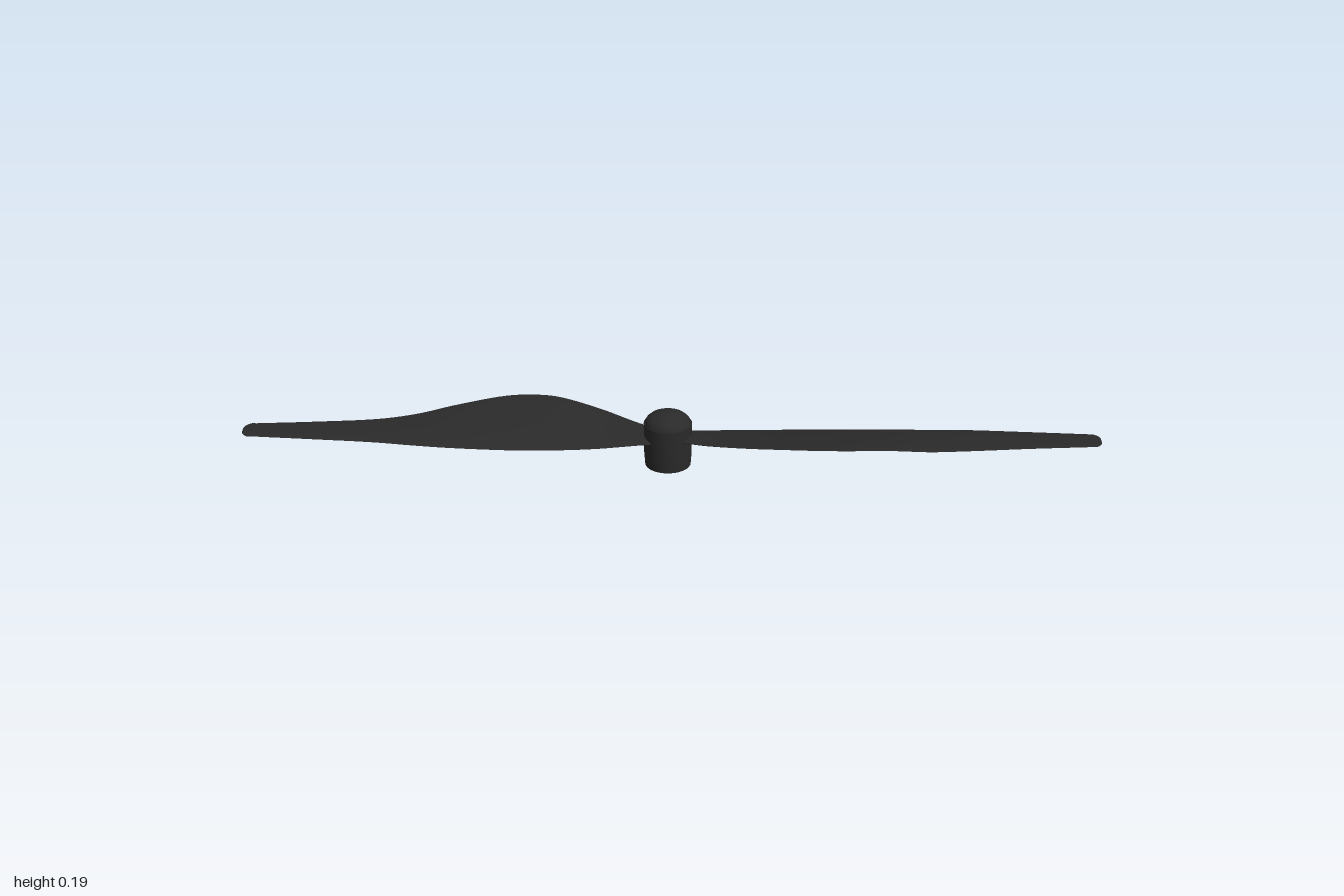
import * as THREE from 'three';
import { toCreasedNormals } from 'three/addons/utils/BufferGeometryUtils.js';

const material = new THREE.MeshStandardMaterial({ color: 0x2a2a2a });

// Blade stations: [distance, rear edge z, rear edge y, front edge z, front edge y]
const stations = [
  [0.00, -0.045, 0.098, 0.03, 0.101],
  [0.10, -0.056, 0.094, 0.076, 0.108],
  [0.24, -0.074, 0.089, 0.14, 0.131],
  [0.38, -0.084, 0.087, 0.184, 0.150],
  [0.47, -0.087, 0.087, 0.191, 0.152],
  [0.55, -0.087, 0.088, 0.185, 0.149],
  [0.71, -0.084, 0.092, 0.147, 0.132],
  [0.83, -0.077, 0.096, 0.117, 0.114],
  [0.95, -0.069, 0.101, 0.092, 0.106],
  [1.15, -0.056, 0.103, 0.068, 0.105],
  [1.35, -0.043, 0.104, 0.05, 0.105],
];

// Smooth edge curve through the stations
const edgeCurve = (zi, yi) =>
  new THREE.CatmullRomCurve3(stations.map((s) => new THREE.Vector3(s[0], s[yi], s[zi])));

function bladeGeometry() {
  const rear = edgeCurve(1, 2), front = edgeCurve(3, 4);
  const steps = 60, half = 8, ring = half * 2;
  const sections = [];
  for (let i = 0; i <= steps; i++) sections.push([rear.getPoint(i / steps), front.getPoint(i / steps)]);

  // Rounded tip
  const [r, f] = sections[steps];
  for (const [x, k] of [[1.367, 0.0], [1.377, 0.09], [1.384, 0.2], [1.387, 0.3]]) {
    const a = r.clone().lerp(f, k), b = f.clone().lerp(r, k);
    a.x = b.x = x;
    sections.push([a, b]);
  }

  // Thin lens-shaped section swept along the two edges
  const positions = [], index = [];
  for (const [a, b] of sections) {
    const thick = THREE.MathUtils.lerp(0.008, 0.003, a.x / 1.39);
    for (let j = 0; j < ring; j++) {
      const angle = (j / ring) * Math.PI * 2;
      const p = a.clone().lerp(b, (1 - Math.cos(angle)) / 2);
      positions.push(p.x, p.y + thick * Math.sin(angle), p.z);
    }
  }
  for (let i = 0; i < sections.length - 1; i++) {
    for (let j = 0; j < ring; j++) {
      const n = (j + 1) % ring;
      const a = i * ring + j, b = a + ring, c = i * ring + n, d = c + ring;
      index.push(a, c, b, b, c, d);
    }
  }
  // End caps
  const last = (sections.length - 1) * ring;
  for (let j = 1; j < ring - 1; j++) {
    index.push(last, last + j, last + j + 1);
    index.push(0, j + 1, j);
  }
  const geometry = new THREE.BufferGeometry();
  geometry.setAttribute('position', new THREE.Float32BufferAttribute(positions, 3));
  geometry.setIndex(index);
  return toCreasedNormals(geometry, Math.PI / 3);
}

function lathe(name, points) {
  const geometry = new THREE.LatheGeometry(points.map(([x, y]) => new THREE.Vector2(x, y)), 40);
  const mesh = new THREE.Mesh(toCreasedNormals(geometry, Math.PI / 6), material);
  mesh.name = name;
  return mesh;
}

export function createModel() {
  const model = new THREE.Group();
  model.name = 'propeller';

  // Hub with a domed nose cap, set slightly off centre
  const hub = new THREE.Group();
  hub.name = 'hub';
  hub.position.x = -0.01;
  hub.add(lathe('hubBody', [[0, 0], [0.074, 0], [0.077, 0.04], [0.078, 0.146], [0, 0.146]]));
  hub.add(lathe('noseCap', [
    [0, 0.14], [0.077, 0.14], [0.075, 0.15], [0.069, 0.16], [0.058, 0.17],
    [0.042, 0.178], [0.022, 0.184], [0, 0.186],
  ]));
  model.add(hub);

  // Two opposite blades
  const geometry = bladeGeometry();
  ['rightBlade', 'leftBlade'].forEach((name, i) => {
    const blade = new THREE.Mesh(geometry, material);
    blade.name = i ? 'rightBlade' : 'leftBlade';
    blade.rotation.y = Math.PI / 4 + i * Math.PI;
    model.add(blade);
  });
  return model;
}
